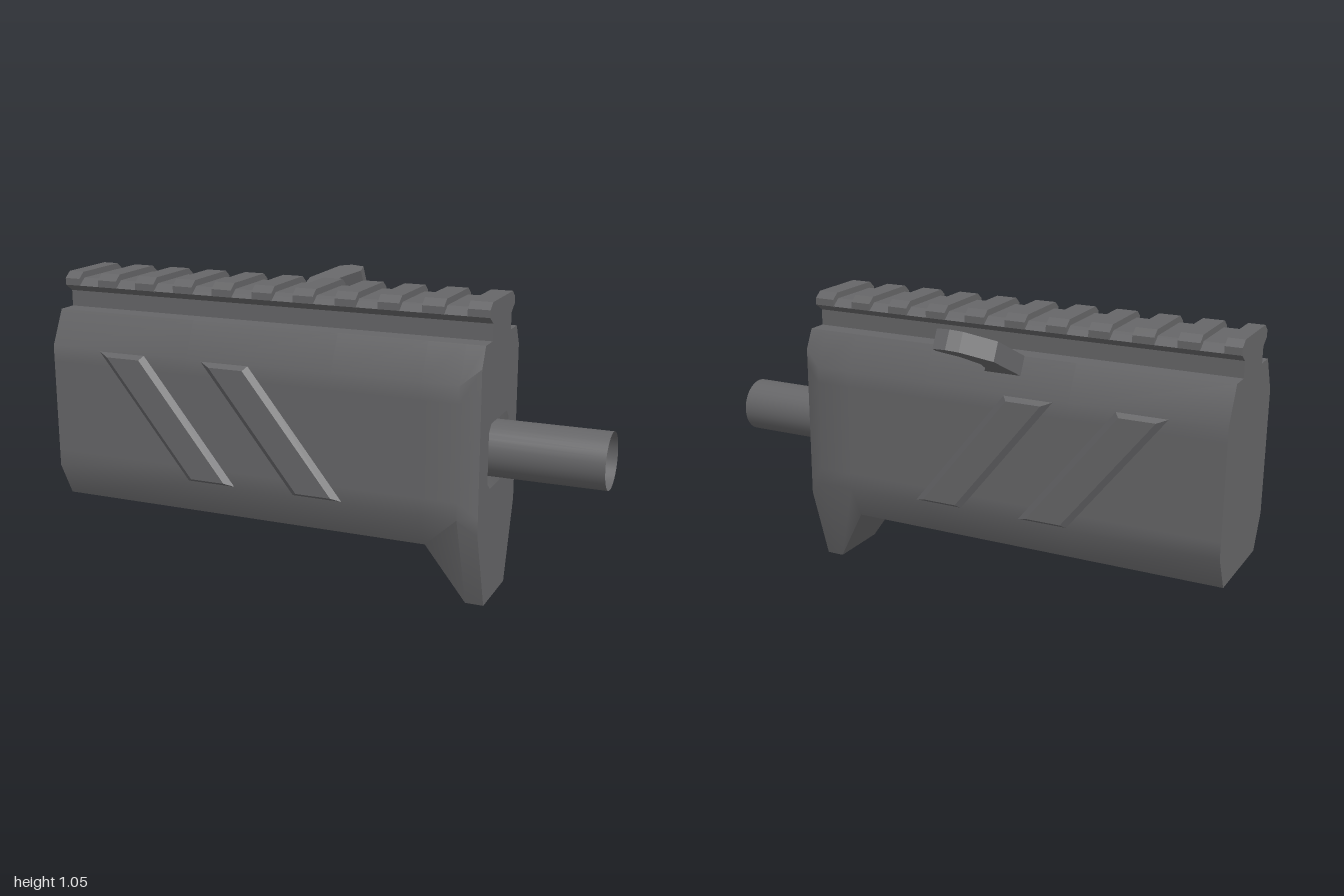
import * as THREE from 'three';
import { toCreasedNormals } from 'three/addons/utils/BufferGeometryUtils.js';
import { ConvexGeometry } from 'three/addons/geometries/ConvexGeometry.js';

const BACK = -1, FRONT = 0.615;
const gunmetal = new THREE.MeshStandardMaterial({ color: 0x666668, side: THREE.DoubleSide });
gunmetal.name = 'gunmetal';

function add(parent, name, geometry) {
  const mesh = new THREE.Mesh(geometry, gunmetal);
  mesh.name = name;
  parent.add(mesh);
  return mesh;
}

// Mirrors a half outline of [halfWidth, y], listed top to bottom, into a closed loop
const mirrored = (half) => [...half, ...half.map(([w, y]) => [-w, y]).reverse()];
const toShape = (points) => new THREE.Shape(points.map(([a, b]) => new THREE.Vector2(a, b)));

// Extrudes a (z, y) outline along x from x0 to x1
function alongX(points, x0, x1) {
  const g = new THREE.ExtrudeGeometry(toShape(points), { depth: x1 - x0, bevelEnabled: false });
  return g.rotateY(Math.PI / 2).translate(x0, 0, 0);
}

// Body cross-section: side half width, shoulder and lower edge heights, bottom half width and height
const section = (w, yUp, yLow, wBottom, yBottom) => mirrored([
  [0.178, 0.92], [w, yUp], [w, yUp - 0.06], [w, yLow + 0.06], [w, yLow], [wBottom, yBottom],
]);

function bodyShell(stations) {
  const n = stations[0].ring.length, pos = [], idx = [];
  for (const { x, ring } of stations) for (const [z, y] of ring) pos.push(x, y, z);
  for (let i = 0; i < stations.length - 1; i++) {
    for (let j = 0; j < n; j++) {
      if (stations[i].open && j === n / 2 - 1) continue; // magazine opening in the floor
      const k = (j + 1) % n, a = i * n + j, b = i * n + k;
      idx.push(a, b, a + n, b, b + n, a + n);
    }
  }
  const g = new THREE.BufferGeometry();
  g.setAttribute('position', new THREE.Float32BufferAttribute(pos, 3));
  g.setIndex(idx);
  return toCreasedNormals(g, 0.6);
}

// Slanted raised panel with bevelled edges
function slantedPanel(x, side) {
  const points = [];
  for (const [inset, z] of [[0, 0.235], [1, 0.255]]) {
    for (const y of [0.795 - 0.02 * inset, 0.345 + 0.015 * inset]) {
      const left = x + (0.795 - y) * 0.79;
      for (const px of [left + 0.035 * inset, left + 0.2 - 0.035 * inset]) {
        points.push(new THREE.Vector3(px, y, z * side));
      }
    }
  }
  return new ConvexGeometry(points);
}

export function createModel() {
  const model = new THREE.Group();
  model.name = 'receiver';
  const main = new THREE.Group();
  main.name = 'receiverAssembly';
  main.position.z = 0.106;
  model.add(main);

  // Hollow body with a flared front lug
  const full = section(0.24, 0.795, 0.34, 0.178, 0.215);
  const end = section(0.213, 0.85, 0.285, 0.12, 0);
  add(main, 'bodyShell', bodyShell([
    { x: BACK, ring: full },
    { x: -0.45, ring: full, open: true },
    { x: 0.1, ring: full },
    { x: 0.42, ring: full },
    { x: 0.55, ring: section(0.24, 0.795, 0.34, 0.12, 0) },
    { x: FRONT, ring: end },
  ]));

  // End plates, the front one with a chamfered barrel opening
  add(main, 'backPlate', new THREE.ShapeGeometry(toShape(full)).rotateY(-Math.PI / 2).translate(BACK, 0, 0));
  const frontShape = toShape(end);
  frontShape.holes.push(toShape(mirrored([[0.09, 0.64], [0.116, 0.612], [0.116, 0.435], [0.085, 0.41]])));
  add(main, 'frontPlate', new THREE.ShapeGeometry(frontShape).rotateY(Math.PI / 2).translate(FRONT, 0, 0));

  // Raised side panels
  for (const side of [1, -1]) {
    for (const x of [-0.815, -0.405]) add(main, 'sidePanel', slantedPanel(x, side));
  }

  // Top rail with evenly spaced teeth
  add(main, 'railBase', alongX(mirrored([
    [0.108, 1.028], [0.141, 1.003], [0.106, 0.978], [0.106, 0.915],
  ]), BACK, FRONT));
  const tooth = mirrored([[0.114, 1.05], [0.142, 1.028], [0.142, 1.003], [0.1, 0.975]]);
  for (let i = 0; i < 11; i++) {
    const x = -0.979 + i * 0.1556;
    add(main, 'railTooth', alongX(tooth, Math.max(BACK, x - 0.038), Math.min(FRONT, x + 0.038)));
  }

  // Open barrel tube
  const barrel = new THREE.CylinderGeometry(0.099, 0.099, 0.55, 32, 1, true).rotateZ(-Math.PI / 2);
  add(main, 'barrel', barrel).position.set(0.725, 0.53, -0.003);

  // Hooked charging handle, tilted upward from the right-hand shoulder
  const hook = toShape([
    [-0.26, -0.02], [-0.24, 0.19], [-0.15, 0.275], [-0.105, 0.286], [-0.055, 0.28], [-0.055, 0.252],
    [-0.12, 0.2], [-0.16, 0.12], [-0.15, 0.06], [-0.12, 0], [-0.12, -0.02],
  ]);
  const handle = new THREE.ExtrudeGeometry(hook, { depth: 0.07, bevelEnabled: false });
  handle.translate(0, 0, -0.07).rotateX(THREE.MathUtils.degToRad(-63));
  add(main, 'chargingHandle', handle).position.set(0, 0.92, -0.176);

  return model;
}
